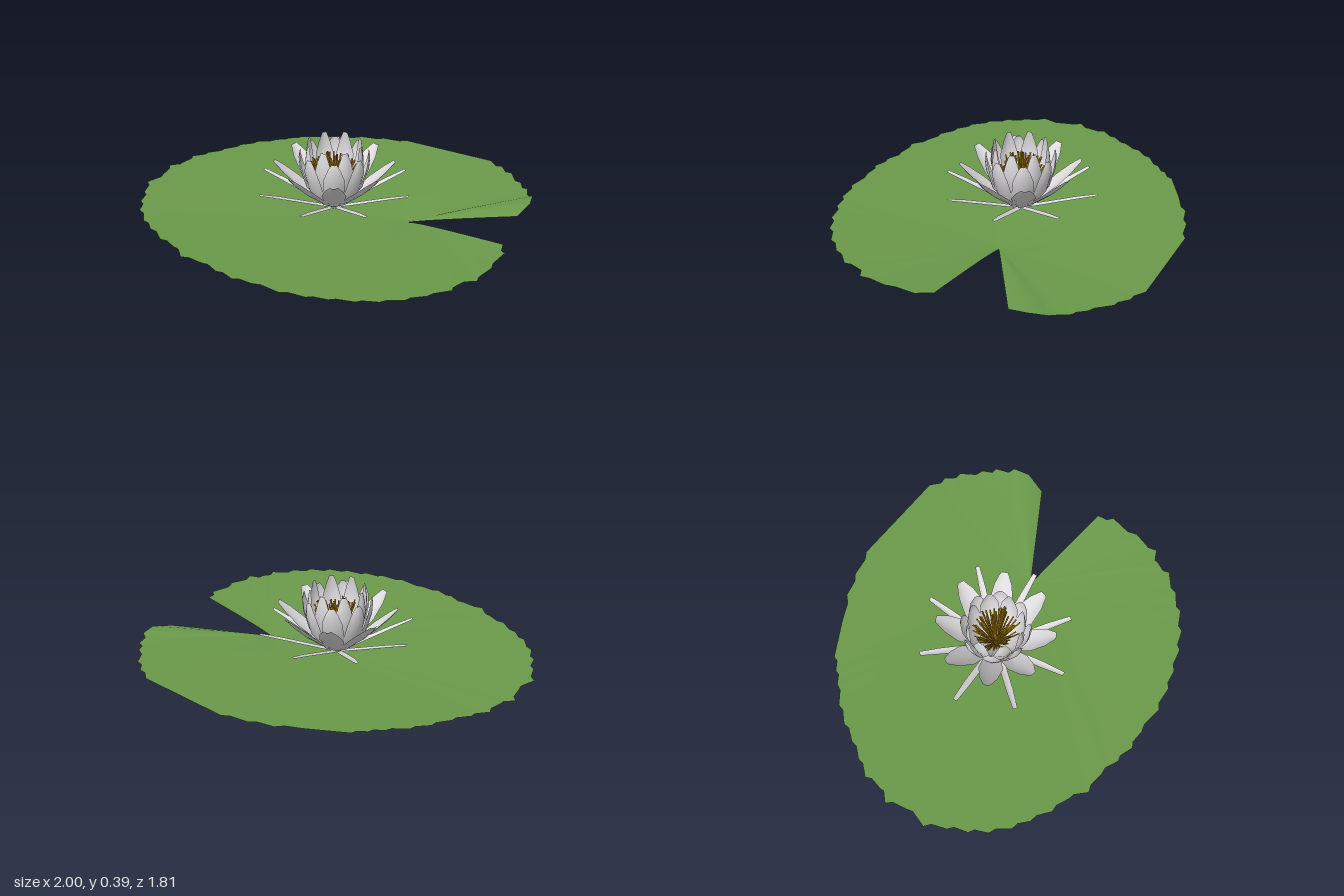
import * as THREE from 'three';
import { mergeGeometries } from 'three/addons/utils/BufferGeometryUtils.js';

const leafGreen = new THREE.MeshStandardMaterial({ name: 'leaf green', color: 0x6b9a4a, side: THREE.DoubleSide });
const petalWhite = new THREE.MeshStandardMaterial({ name: 'petal white', color: 0xdedcde, side: THREE.DoubleSide });
const stamenGold = new THREE.MeshStandardMaterial({ name: 'stamen gold', color: 0xc0900c });

// Leaf rim as x, z pairs, from the front side of the notch round to its back side
const RIM = [
  0.97, 0.08, 1, 0.16, 0.98, 0.32, 0.95, 0.46, 0.89, 0.5, 0.87, 0.58, 0.78, 0.67, 0.7, 0.74, 0.6, 0.8,
  0.5, 0.84, 0.38, 0.87, 0.28, 0.89, 0.15, 0.9, 0, 0.88, -0.1, 0.88, -0.2, 0.85, -0.3, 0.81, -0.42, 0.8,
  -0.5, 0.73, -0.6, 0.69, -0.7, 0.62, -0.78, 0.56, -0.86, 0.47, -0.91, 0.38, -0.95, 0.28, -1, 0.17,
  -0.97, 0.05, -1, -0.06, -0.95, -0.12, -0.94, -0.22, -0.88, -0.3, -0.82, -0.38, -0.76, -0.47,
  -0.69, -0.55, -0.6, -0.62, -0.54, -0.67, -0.48, -0.72, -0.28, -0.8, -0.15, -0.86, -0.02, -0.89,
  0.12, -0.91, 0.65, -0.83, 0.73, -0.78, 0.8, -0.72, 0.88, -0.62, 0.93, -0.56, 0.98, -0.47,
  0.99, -0.38, 0.95, -0.27,
];

// Small seeded random number generator
function seeded(seed) {
  return () => (seed = (seed * 16807) % 2147483647) / 2147483647;
}

// Rings of vertices spread from the notch tip out to a toothed rim
function leafGeometry() {
  const tip = new THREE.Vector3(0.44, 0.003, -0.045);
  const rim = [];
  const count = RIM.length / 2;
  for (let i = 0; i < count; i++) {
    const x = RIM[2 * i], z = RIM[2 * i + 1];
    // the back lobe curls: its cut edge droops below a raised fold
    const y = i === count - 1 ? 0.035 : i > count - 4 ? 0.065 : 0.05 + 0.008 * Math.max(0, x);
    rim.push(new THREE.Vector3(x, y, z));
    if (i === count - 1) break;
    const next = new THREE.Vector3(RIM[2 * i + 2], 0.05, RIM[2 * i + 3]);
    if (Math.hypot(next.x - x, next.z - z) < 0.17 && i < count - 3) {
      const tooth = new THREE.Vector3(x, y, z).lerp(next, 0.7);
      tooth.x *= 0.985;
      tooth.z *= 0.985;
      rim.push(tooth);
    }
  }
  const steps = [0.03, 0.15, 0.3, 0.5, 0.75, 1];
  const n = rim.length, pos = [...tip.toArray()], index = [];
  steps.forEach((t, k) => {
    rim.forEach((p, i) => {
      pos.push(tip.x + (p.x - tip.x) * t, tip.y + (p.y - tip.y) * t ** 0.7, tip.z + (p.z - tip.z) * t);
      if (i === n - 1) return;
      const a = 1 + k * n + i;
      if (k === 0) index.push(0, a + 1, a);
      else index.push(a - n, a + 1, a, a - n, a - n + 1, a + 1);
    });
  });
  const geo = new THREE.BufferGeometry();
  geo.setAttribute('position', new THREE.Float32BufferAttribute(pos, 3));
  geo.setIndex(index);
  geo.computeVertexNormals();
  return geo;
}

// Cupped petal from stations of [radius, height, half width], growing toward +z
function petalGeometry(stations, cup) {
  const n = stations.length, across = 4;
  const geo = new THREE.PlaneGeometry(1, 1, across, n - 1);
  const pos = geo.attributes.position;
  const first = stations[0], last = stations[n - 1];
  const length = Math.hypot(last[0] - first[0], last[1] - first[1]);
  const inward = -(last[1] - first[1]) / length, upward = (last[0] - first[0]) / length;
  for (let i = 0; i < pos.count; i++) {
    const [r, y, w] = stations[n - 1 - Math.floor(i / (across + 1))];
    const s = (i % (across + 1)) / across * 2 - 1;
    const lift = cup * s * s * w;
    pos.setXYZ(i, s * w, y + upward * lift, r + inward * lift);
  }
  geo.computeVertexNormals();
  return geo;
}

// Eight petals spaced evenly round the flower
function petalRing(name, stations, cup, offset) {
  const ring = new THREE.Group();
  ring.name = name;
  const geo = petalGeometry(stations, cup);
  for (let i = 0; i < 8; i++) {
    const petal = new THREE.Mesh(geo, petalWhite);
    petal.name = name + 'Petal';
    petal.rotation.y = (i + offset) * Math.PI / 4;
    ring.add(petal);
  }
  return ring;
}

// Dense tuft of thin, splayed rods
function stamenGeometry() {
  const random = seeded(71);
  const rods = [];
  for (let i = 0; i < 100; i++) {
    const length = 0.21 + 0.07 * random();
    const rod = new THREE.CylinderGeometry(0.0045, 0.003, length, 4);
    rod.translate(0, length / 2, 0);
    rod.rotateX(0.08 + 0.46 * Math.sqrt(random()));
    rod.rotateY(i * 2.39996);
    rod.translate(0, 0.04, 0);
    rods.push(rod);
  }
  return mergeGeometries(rods);
}

export function createModel() {
  const model = new THREE.Group();
  model.name = 'waterLily';

  const leaf = new THREE.Mesh(leafGeometry(), leafGreen);
  leaf.name = 'floatingLeaf';
  model.add(leaf);

  const flower = new THREE.Group();
  flower.name = 'flower';
  flower.position.set(0.03, 0, -0.022);
  flower.add(
    petalRing('sepals', [[0, 0.015, 0.016], [0.1, 0.05, 0.019], [0.3, 0.122, 0.018], [0.41, 0.16, 0.012]], 0.3, 0),
    petalRing('outerPetals', [[0, 0.018, 0.015], [0.1, 0.08, 0.045], [0.2, 0.16, 0.063],
      [0.27, 0.23, 0.047], [0.315, 0.282, 0.02]], 0.3, 0.5),
    petalRing('middlePetals', [[0, 0.018, 0.015], [0.08, 0.06, 0.04], [0.15, 0.15, 0.058],
      [0.18, 0.25, 0.052], [0.185, 0.31, 0.032], [0.18, 0.345, 0.012]], 0.35, 0.5),
    petalRing('innerPetals', [[0, 0.018, 0.015], [0.07, 0.07, 0.035], [0.135, 0.16, 0.055],
      [0.158, 0.27, 0.048], [0.153, 0.34, 0.03], [0.147, 0.39, 0.012]], 0.35, 0),
  );
  const stamens = new THREE.Mesh(stamenGeometry(), stamenGold);
  stamens.name = 'stamens';
  flower.add(stamens);
  model.add(flower);
  return model;
}
